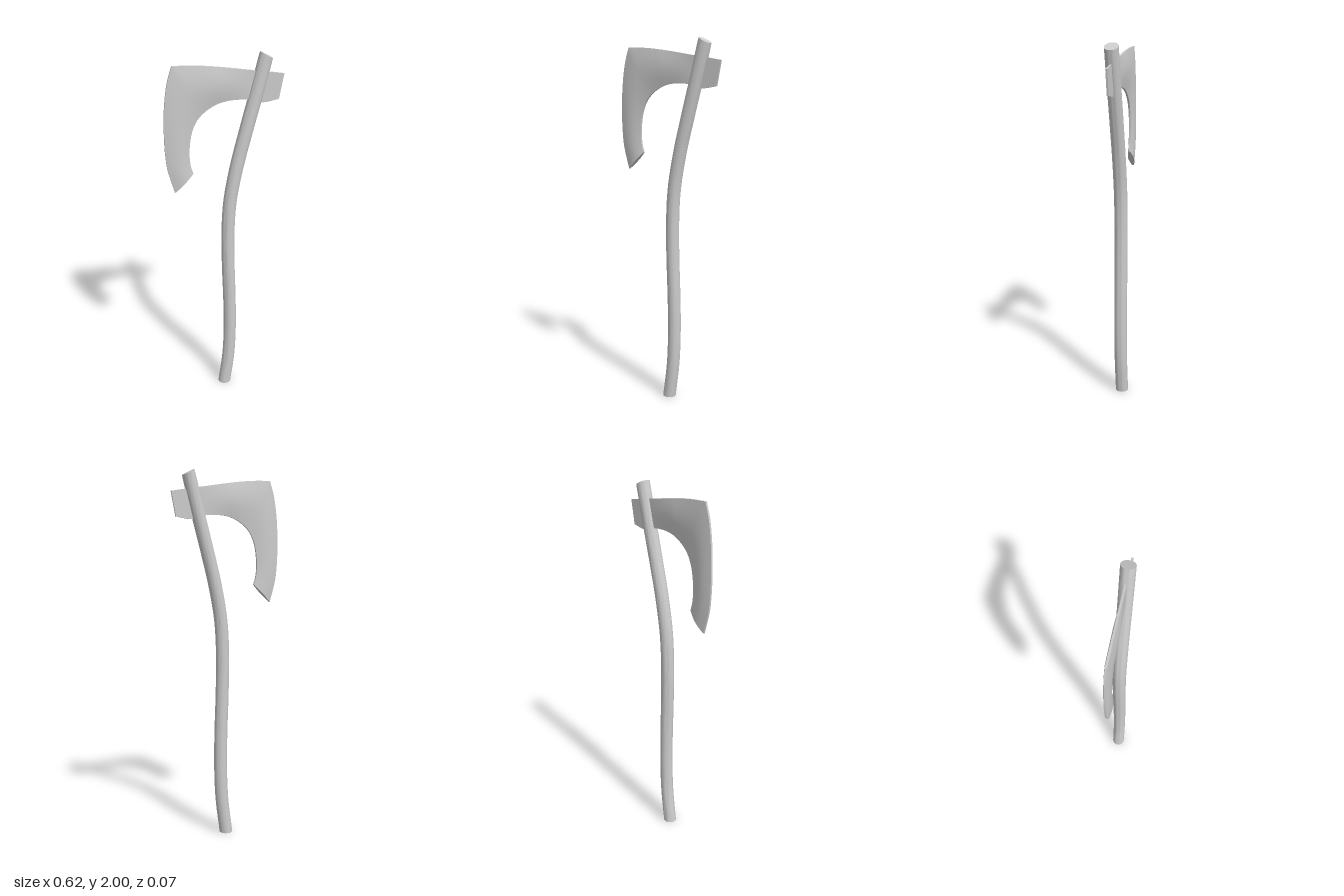
import * as THREE from 'three';
import { toCreasedNormals } from 'three/addons/utils/BufferGeometryUtils.js';

const material = new THREE.MeshStandardMaterial({ color: 0xcccccc });
const spline = (pts) => new THREE.CatmullRomCurve3(pts.map(([x, y]) => new THREE.Vector3(x, y, 0)));

// Round shaft: a cylinder whose rings follow a gently curved path
function makeHandle() {
  const path = spline([[0, 0], [0.025, 0.2], [0.033, 0.4], [0.03, 0.6], [0.023, 0.8], [0.02, 1],
    [0.03, 1.2], [0.065, 1.4], [0.115, 1.6], [0.168, 1.8], [0.214, 1.982]]);
  const rows = 60;
  const geometry = new THREE.CylinderGeometry(0.036, 0.036, 1, 32, rows);
  const pos = geometry.attributes.position;
  for (let i = 0; i < pos.count; i++) {
    const t = THREE.MathUtils.clamp(pos.getY(i) + 0.5, 0, 1);
    const c = path.getPointAt(t);
    const dir = path.getTangentAt(t);
    let tilt = Math.atan2(dir.x, dir.y);
    if (t < 0.001) tilt = 0; // level foot
    if (t > 0.999) tilt = 0.48; // slanted top cut
    const x = pos.getX(i);
    pos.setXY(i, c.x + x * Math.cos(tilt), c.y - x * Math.sin(tilt));
  }
  return toCreasedNormals(geometry, 0.7);
}

// Bearded blade: lens-shaped sections spanning the outer and inner outlines
function makeBlade() {
  const top = spline([[0.31, 1.883], [0.2, 1.902], [0.125, 1.913], [0.035, 1.928],
    [-0.045, 1.94], [-0.15, 1.952], [-0.262, 1.957]]);
  const edge = spline([[-0.262, 1.957], [-0.288, 1.873], [-0.307, 1.74], [-0.312, 1.58],
    [-0.309, 1.5], [-0.3, 1.42], [-0.267, 1.297]]);
  const inner = spline([[0.286, 1.755], [0.2, 1.743], [0.125, 1.763], [0.035, 1.767], [-0.03, 1.756],
    [-0.085, 1.73], [-0.125, 1.698], [-0.15, 1.665], [-0.172, 1.61], [-0.183, 1.544],
    [-0.185, 1.49], [-0.18, 1.44], [-0.167, 1.395]]);
  const stations = 48, across = 8, ring = 2 * (across + 1), rim = 0.005;
  const verts = [], index = [];
  for (let i = 0; i <= stations; i++) {
    const t = i / stations;
    const a = t <= 0.5 ? top.getPoint(t * 2) : edge.getPoint(t * 2 - 1);
    const b = inner.getPoint(t);
    for (let j = 0; j < ring; j++) {
      const front = j <= across;
      const u = (front ? j : ring - 1 - j) / across;
      const p = a.clone().lerp(b, u);
      // the middle swells from the thin poll towards the cutting end
      const swell = 0.012 * THREE.MathUtils.clamp((0.15 - p.x) / 0.19, 0, 1);
      const half = rim + swell * Math.sin(Math.PI * u);
      verts.push(p.x, p.y, front ? half : -half);
    }
  }
  for (let i = 0; i < stations; i++) {
    for (let j = 0; j < ring; j++) {
      const k = (j + 1) % ring, m = i * ring, n = m + ring;
      index.push(m + j, n + j, m + k, n + j, n + k, m + k);
    }
  }
  // end faces at the poll and the beard tip
  const last = stations * ring;
  for (let j = 0; j < across; j++) {
    const f0 = j, f1 = j + 1, b0 = ring - 1 - j, b1 = ring - 2 - j;
    index.push(f0, f1, b1, f0, b1, b0);
    index.push(last + f0, last + b1, last + f1, last + f0, last + b0, last + b1);
  }
  const geometry = new THREE.BufferGeometry();
  geometry.setAttribute('position', new THREE.Float32BufferAttribute(verts, 3));
  geometry.setIndex(index);
  return toCreasedNormals(geometry, 0.6);
}

export function createModel() {
  const axe = new THREE.Group();
  axe.name = 'axe';
  const parts = { handle: makeHandle(), blade: makeBlade() };
  for (const [name, geometry] of Object.entries(parts)) {
    const mesh = new THREE.Mesh(geometry, material);
    mesh.name = name;
    axe.add(mesh);
  }
  return axe;
}
